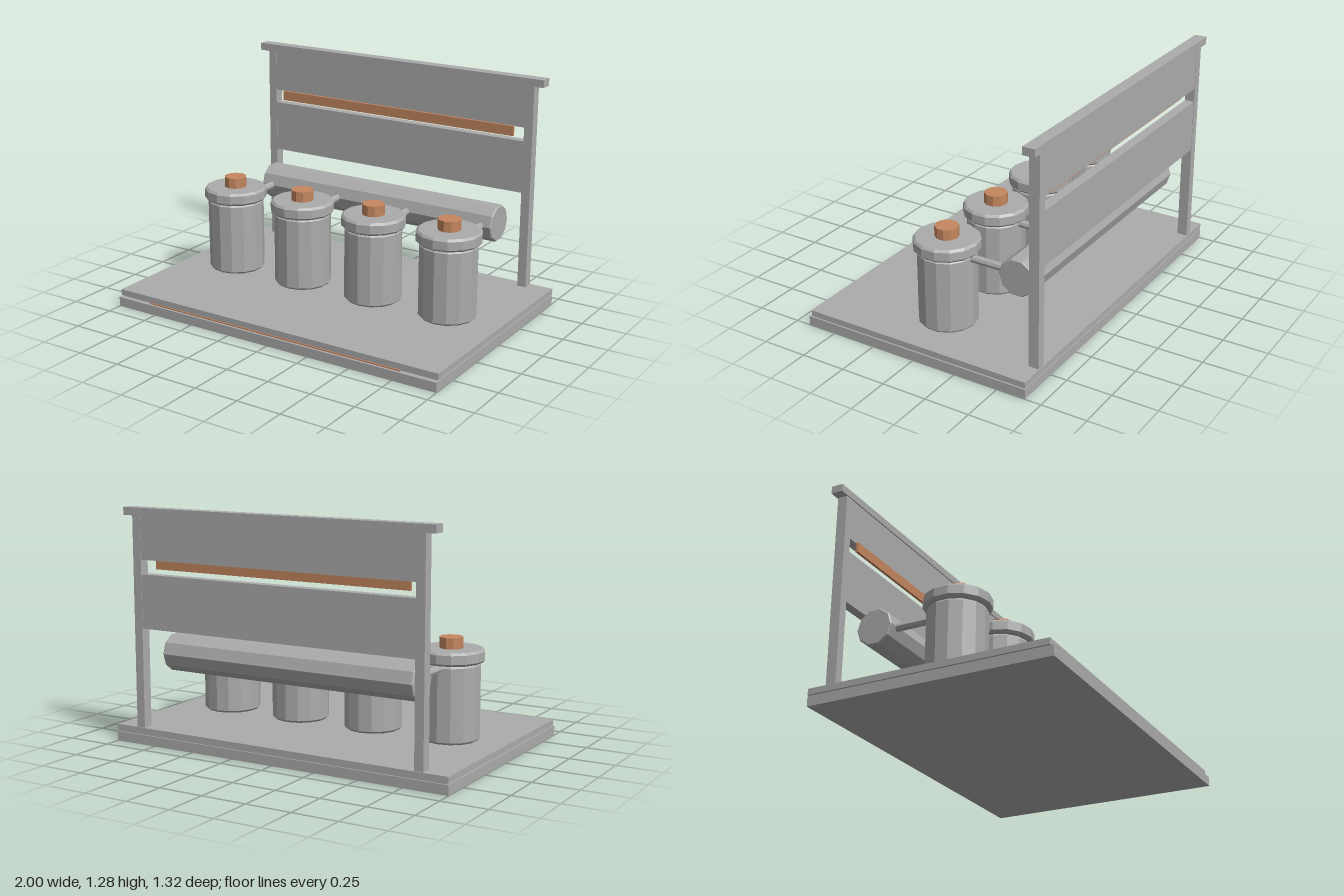
import * as THREE from 'three';

export function createModel() {
  const model = new THREE.Group();
  model.name = 'canisterRack';

  const steel = new THREE.MeshStandardMaterial({ color: 0xacacac, flatShading: true });
  steel.name = 'steelGrey';
  const copper = new THREE.MeshStandardMaterial({ color: 0xc4875f, flatShading: true });
  copper.name = 'copper';

  function add(name, geometry, material, x, y, z, parent = model) {
    const mesh = new THREE.Mesh(geometry, material);
    mesh.name = name;
    mesh.position.set(x, y, z);
    parent.add(mesh);
    return mesh;
  }

  // box given by its limits on each axis
  function box(name, material, x0, x1, y0, y1, z0, z1) {
    return add(name, new THREE.BoxGeometry(x1 - x0, y1 - y0, z1 - z0), material,
      (x0 + x1) / 2, (y0 + y1) / 2, (z0 + z1) / 2);
  }

  // closed drum with chamfered rims, standing on its own origin
  function drum(radius, height, chamfer, sides) {
    const profile = [
      [0, 0], [radius - chamfer, 0], [radius, chamfer],
      [radius, height - chamfer], [radius - chamfer, height], [0, height],
    ].map(([r, y]) => new THREE.Vector2(r, y));
    return new THREE.LatheGeometry(profile, sides);
  }

  // stepped base with a copper line set into the seam
  box('baseSlab', steel, -1, 1, 0, 0.053, -0.66, 0.664);
  box('baseSeam', steel, -0.99, 0.99, 0.053, 0.06, -0.652, 0.637);
  box('deck', steel, -1, 1, 0.06, 0.093, -0.66, 0.645);
  box('baseTrim', copper, -0.79, 0.79, 0.053, 0.06, 0.637, 0.651);

  // back frame
  for (const side of [-1, 1]) {
    const x = side * 0.84;
    box(side > 0 ? 'leftPost' : 'rightPost', steel, x - 0.025, x + 0.025, 0.093, 1.235, -0.655, -0.598);
  }
  box('topRail', steel, -0.92, 0.92, 1.235, 1.277, -0.66, -0.593);
  box('upperPanel', steel, -0.815, 0.815, 1.003, 1.235, -0.653, -0.6);
  box('lowerPanel', steel, -0.815, 0.815, 0.635, 0.926, -0.653, -0.6);
  box('panelTrim', copper, -0.757, 0.757, 0.95, 1.005, -0.6, -0.585);

  // horizontal tank
  const tankLength = 1.51;
  const tank = add('tank', drum(0.103, tankLength, 0.006, 10), steel, tankLength / 2, 0.488, -0.461);
  tank.rotation.z = Math.PI / 2;

  // canisters, each joined to the tank by a pipe
  const bodyGeometry = drum(0.157, 0.411, 0.012, 14);
  const lidGeometry = drum(0.176, 0.07, 0.012, 14);
  const knobGeometry = new THREE.CylinderGeometry(0.063, 0.063, 0.06, 10);
  const pipeGeometry = new THREE.CylinderGeometry(0.021, 0.021, 0.28, 8);
  for (let i = 0; i < 4; i++) {
    const canister = new THREE.Group();
    canister.name = 'canister' + (i + 1);
    canister.position.set(-0.69 + i * 0.46, 0.093, -0.011);
    add('body', bodyGeometry, steel, 0, 0, 0, canister);
    add('lid', lidGeometry, steel, 0, 0.412, 0, canister);
    add('knob', knobGeometry, copper, 0, 0.51, 0, canister);
    const pipe = add('pipe', pipeGeometry, steel, 0, 0.394, -0.26, canister);
    pipe.rotation.x = Math.PI / 2;
    model.add(canister);
  }

  return model;
}
